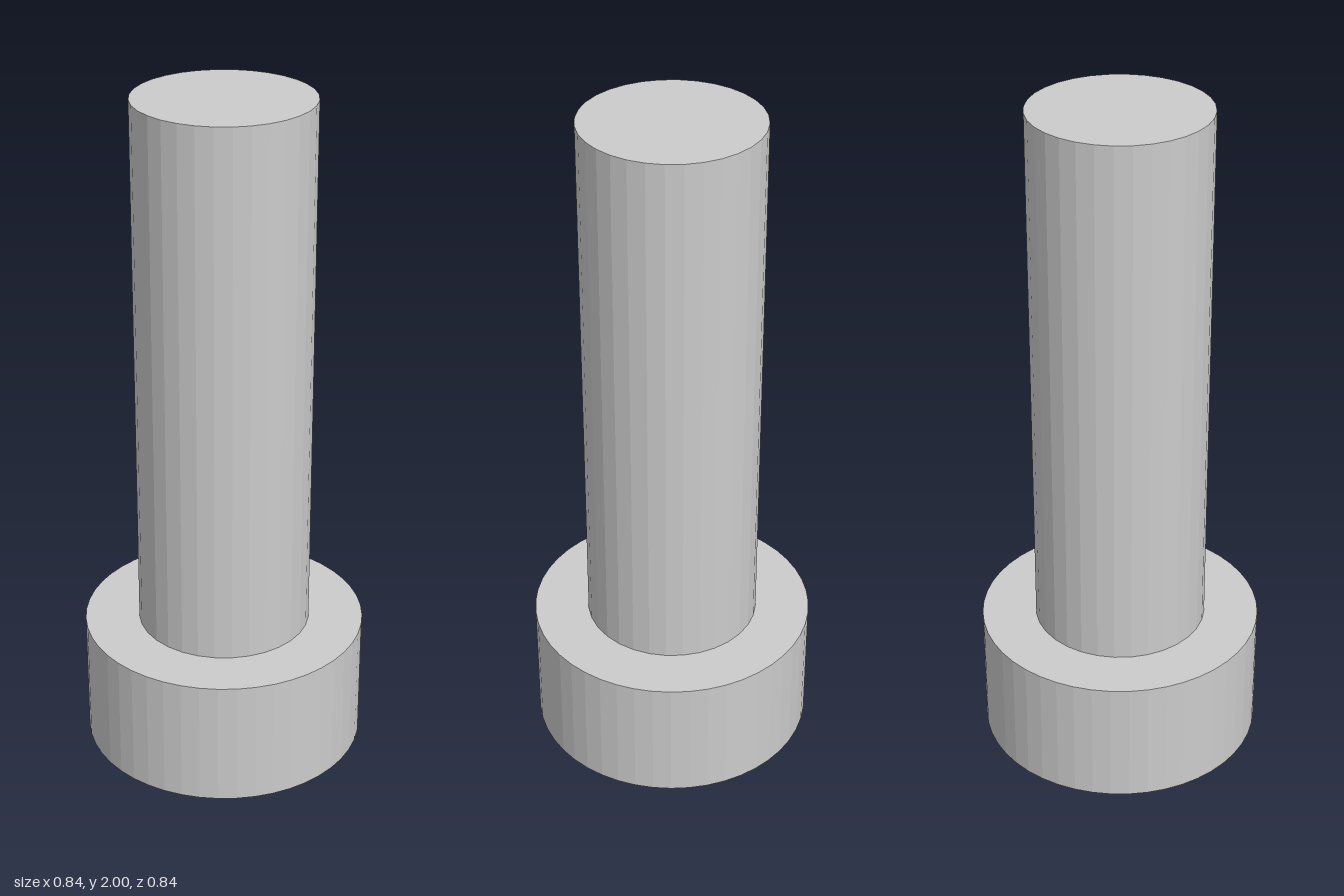
import * as THREE from 'three';

const material = new THREE.MeshStandardMaterial({ color: 0xcccccc, flatShading: true });

// Upright cylinder spanning y0 to y1
function cylinder(name, radius, y0, y1, sides) {
  const mesh = new THREE.Mesh(new THREE.CylinderGeometry(radius, radius, y1 - y0, sides), material);
  mesh.position.y = (y0 + y1) / 2;
  mesh.name = name;
  return mesh;
}

export function createModel() {
  const headHeight = 0.385;
  const model = new THREE.Group();
  model.name = 'bolt';
  // Wide head at the base, plain shank rising from it
  model.add(
    cylinder('head', 0.419, 0, headHeight, 48),
    cylinder('shank', 0.257, headHeight, 2, 32)
  );
  return model;
}
